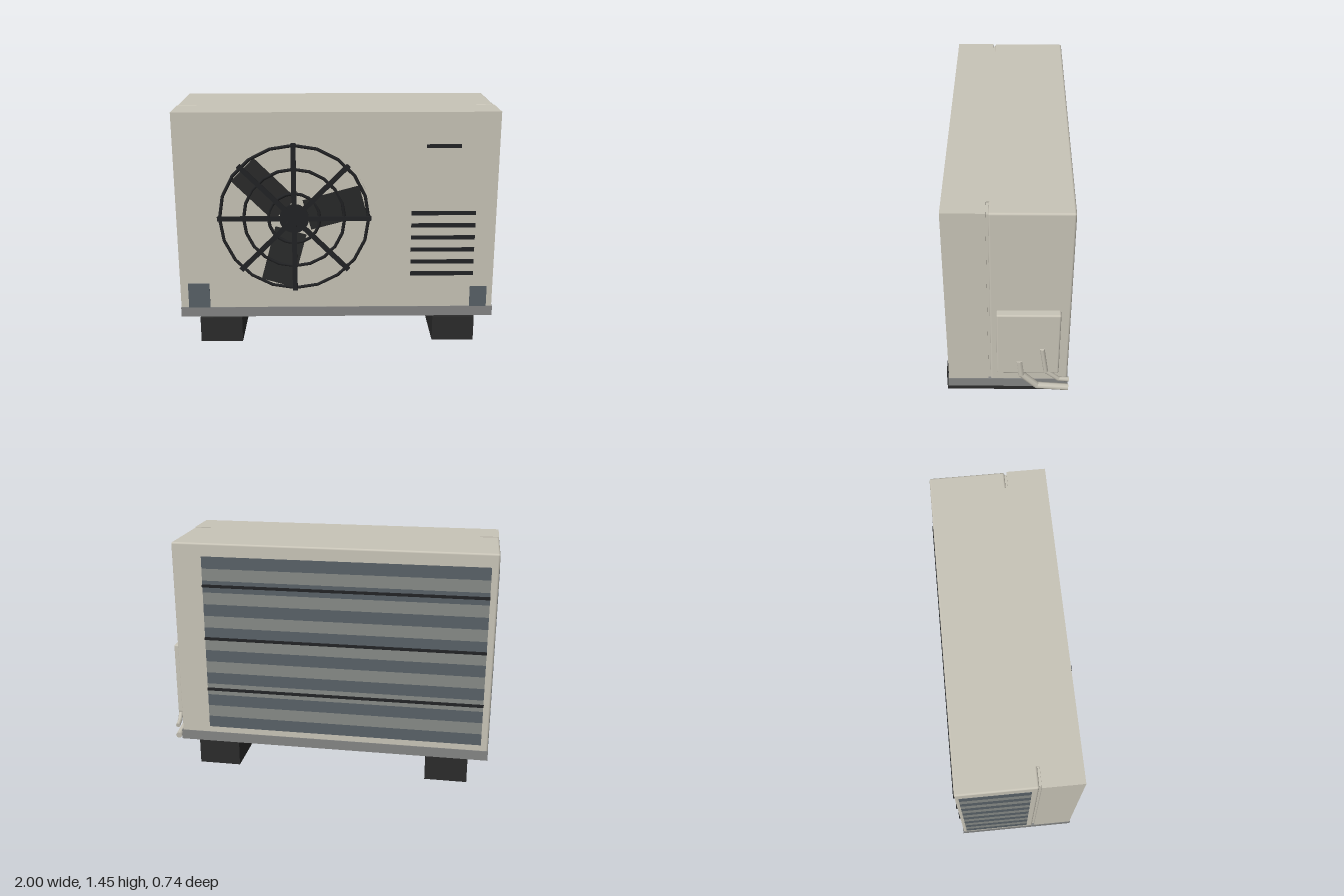
import * as THREE from 'three';
import { RoundedBoxGeometry } from 'three/addons/geometries/RoundedBoxGeometry.js';

const mat = (name, color, extra = {}) => {
  const m = new THREE.MeshStandardMaterial({ color, ...extra });
  m.name = name;
  return m;
};

export function createModel() {
  const root = new THREE.Group();
  root.name = 'outdoorUnit';
  const shell = mat('warm grey shell', 0xc8c4b7);
  const baseGrey = mat('base grey', 0x848584);
  const rubber = mat('foot black', 0x2b2b2b);
  const black = mat('grille black', 0x222325);
  const bladeGrey = mat('blade charcoal', 0x292a2a);
  const slate = mat('slate', 0x596167);
  const finGrey = mat('fin grey', 0x868a86);

  const add = (name, geo, material, parent = root) => {
    const m = new THREE.Mesh(geo, material);
    m.name = name;
    parent.add(m);
    return m;
  };
  // Box given by its minimum and maximum corners
  const span = (name, x0, x1, y0, y1, z0, z1, material, parent = root, r = 0) => {
    const s = [x1 - x0, y1 - y0, z1 - z0];
    const geo = r ? new RoundedBoxGeometry(...s, 2, r) : new THREE.BoxGeometry(...s);
    const m = add(name, geo, material, parent);
    m.position.set((x0 + x1) / 2, (y0 + y1) / 2, (z0 + z1) / 2);
    return m;
  };

  // Feet and base tray
  span('leftFoot', 0.57, 0.83, 0, 0.16, -0.355, 0.37, rubber);
  span('rightFoot', -0.88, -0.62, 0, 0.16, -0.355, 0.37, rubber);
  span('baseTray', -1, 0.945, 0.16, 0.222, -0.36, 0.351, baseGrey);

  // Casing: front and rear shells with a narrow seam between them
  span('frontShell', -0.998, 0.94, 0.22, 1.45, 0.111, 0.346, shell);
  span('rearShell', -0.998, 0.94, 0.21, 1.45, -0.356, 0.098, shell, root, 0.012);
  span('seamCore', -0.985, 0.928, 0.22, 1.435, 0.08, 0.12, shell);
  span('seamTop', -0.88, 0.83, 1.4, 1.45, 0.08, 0.12, shell);

  // Fan: backing disc, blades, rings and spokes
  const fan = new THREE.Group();
  fan.name = 'fan';
  fan.position.set(-0.285, 0.805, 0.346);
  root.add(fan);
  const disc = (name, r, depth, z, material, sides) => {
    const m = add(name, new THREE.CylinderGeometry(r, r, depth, sides), material, fan);
    m.rotation.x = Math.PI / 2;
    m.position.z = z;
  };
  disc('fanDisc', 0.465, 0.002, 0.001, shell, 48);
  disc('hub', 0.09, 0.016, 0.013, black, 16);
  for (const deg of [15, 135, 255]) {
    const arm = new THREE.Group();
    arm.name = 'bladeArm';
    arm.rotation.z = THREE.MathUtils.degToRad(deg);
    fan.add(arm);
    const blade = add('blade', new THREE.BoxGeometry(0.35, 0.195, 0.004), bladeGrey, arm);
    blade.position.set(0.255, 0, 0.011);
    blade.rotation.x = 0.06;
  }
  for (const r of [0.155, 0.305, 0.45]) {
    const ring = add('grilleRing', new THREE.TorusGeometry(r, 0.01, 6, 20), black, fan);
    ring.position.z = 0.012;
  }
  for (let i = 0; i < 4; i++) {
    const spoke = add('grilleSpoke', new THREE.BoxGeometry(0.93, 0.03, 0.012), black, fan);
    spoke.rotation.z = i * Math.PI / 4;
    spoke.position.z = 0.018;
  }

  // Front slots and corner plates
  for (let i = 0; i < 6; i++) {
    const y = 0.442 + i * 0.078;
    span('ventSlot', 0.425, 0.815, y - 0.013, y + 0.013, 0.345, 0.351, black);
  }
  span('topSlot', 0.505, 0.712, 1.235, 1.257, 0.345, 0.351, black);
  span('rightCornerPlate', -0.95, -0.817, 0.222, 0.38, 0.345, 0.35, slate);
  span('leftCornerPlate', 0.8, 0.905, 0.222, 0.355, 0.345, 0.35, slate);

  // Striped heat exchanger on the back and the right side
  const stripes = 15, y0 = 0.26, step = 1.11 / stripes;
  for (let i = 0; i < stripes; i++) {
    const y = y0 + i * step, m = i % 2 ? finGrey : slate;
    span('backFin', -0.955, 0.757, y, y + step, -0.359, -0.354, m);
    span('sideFin', -1, -0.995, y, y + step, -0.335, 0.06, m);
  }
  for (const y of [0.52, 0.855, 1.19]) {
    span('backRod', -0.957, 0.757, y - 0.008, y + 0.008, -0.37, -0.356, black);
  }

  // Valve cover and pipes on the left side
  span('valveCover', 0.93, 0.985, 0.317, 0.778, -0.3, 0.06, shell, root, 0.01);
  const up = new THREE.Vector3(0, 1, 0);
  const pipe = (name, r, points) => {
    const g = new THREE.Group();
    g.name = name;
    root.add(g);
    const pts = points.map((p) => new THREE.Vector3(...p));
    for (let i = 1; i < pts.length; i++) {
      const dir = pts[i].clone().sub(pts[i - 1]);
      const seg = add('pipeLength', new THREE.CylinderGeometry(r, r, dir.length(), 8), shell, g);
      seg.position.copy(pts[i - 1]).addScaledVector(dir, 0.5);
      seg.quaternion.setFromUnitVectors(up, dir.normalize());
      if (i < pts.length - 1) {
        add('pipeBend', new THREE.SphereGeometry(r, 8, 6), shell, g).position.copy(pts[i]);
      }
    }
  };
  pipe('largePipe', 0.02, [
    [0.975, 0.415, -0.07], [0.975, 0.3, -0.083], [0.972, 0.2, -0.175], [0.968, 0.18, -0.36],
  ]);
  pipe('smallPipe', 0.014, [
    [0.986, 0.52, -0.2], [0.984, 0.335, -0.225], [0.976, 0.262, -0.3], [0.97, 0.25, -0.36],
  ]);

  return root;
}
